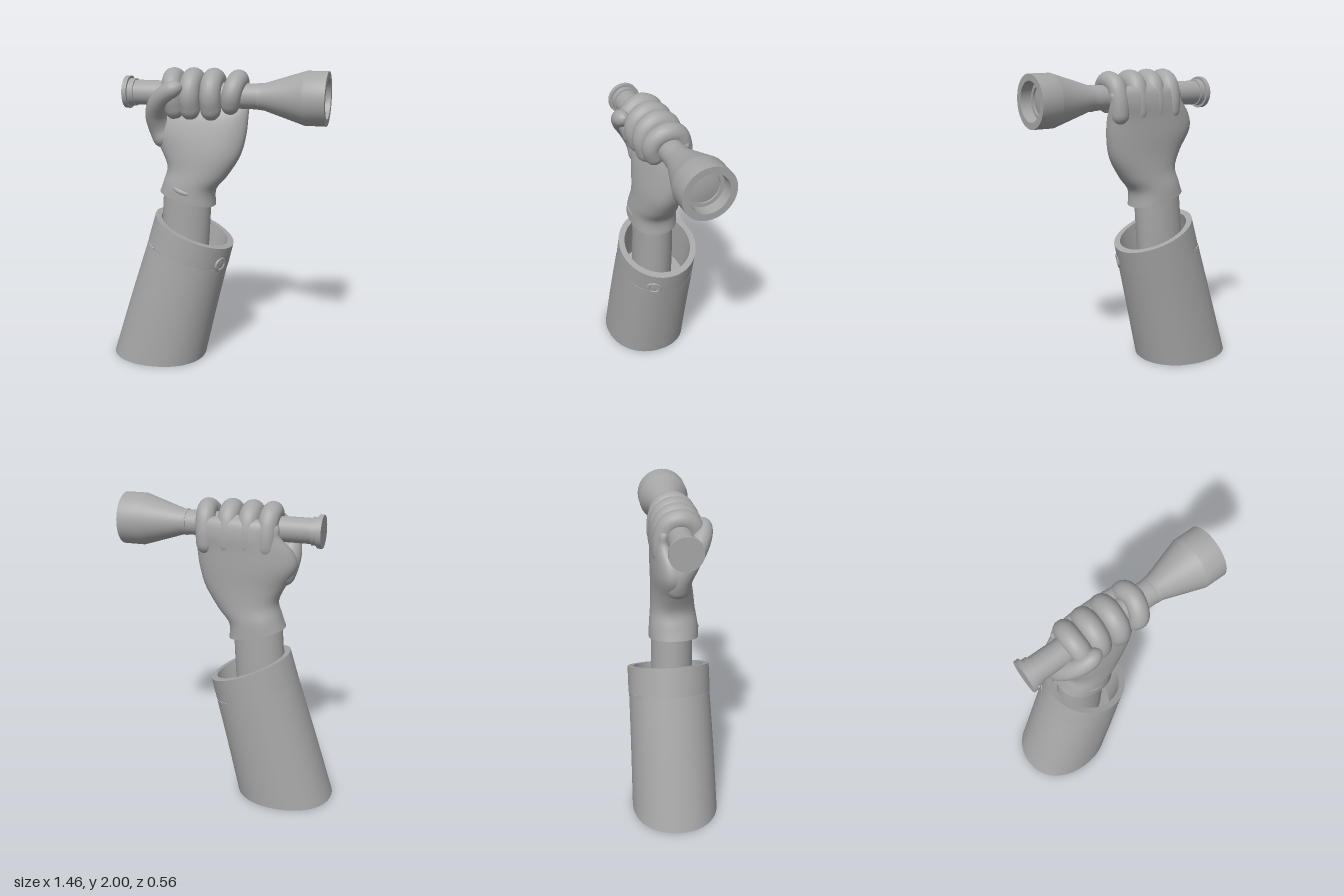
import * as THREE from 'three';
import { mergeVertices, mergeGeometries, toCreasedNormals } from 'three/addons/utils/BufferGeometryUtils.js';

const grey = new THREE.MeshStandardMaterial({ color: 0xa6a6a6 });
grey.name = 'plain grey';

const spow = (v, p) => Math.sign(v) * Math.pow(Math.abs(v), p);

// Catmull-Rom blend of the same value in four neighbouring sections
function blend(a, b, c, d, t) {
  const m0 = (c - a) / 2, m1 = (d - b) / 2, t2 = t * t, t3 = t2 * t;
  return (2 * t3 - 3 * t2 + 1) * b + (t3 - 2 * t2 + t) * m0 + (3 * t2 - 2 * t3) * c + (t3 - t2) * m1;
}

// Skin over tilted oval sections [cx, cy, radiusX, tilt, cz, radiusZ]
function loft(sections, { sub = 1, power = 1, n = 48 } = {}) {
  const rings = [];
  const last = sections.length - 1;
  for (let i = 0; i < last; i++) {
    const four = [Math.max(i - 1, 0), i, i + 1, Math.min(i + 2, last)].map((k) => sections[k]);
    for (let s = 0; s < sub; s++) {
      rings.push(four[1].map((_, k) => blend(four[0][k], four[1][k], four[2][k], four[3][k], s / sub)));
    }
  }
  rings.push(sections[last]);
  const pos = [], idx = [];
  rings.forEach(([cx, cy, rx, dy, cz, rz], i) => {
    for (let j = 0; j < n; j++) {
      const a = (j / n) * Math.PI * 2;
      const u = spow(Math.cos(a), power), v = spow(Math.sin(a), power);
      pos.push(cx + rx * u, cy + dy * u, cz + rz * v);
      if (i === rings.length - 1) continue;
      const p = i * n + j, q = i * n + ((j + 1) % n);
      idx.push(p, p + n, q, q, p + n, q + n);
    }
  });
  const g = new THREE.BufferGeometry();
  g.setAttribute('position', new THREE.Float32BufferAttribute(pos, 3));
  g.setIndex(idx);
  g.computeVertexNormals();
  return g;
}

// Round-ended tube whose radius runs from r0 to r1
function limb(points, r0, r1, round = 0.12) {
  const curve = new THREE.CatmullRomCurve3(points.map((p) => new THREE.Vector3(...p)));
  const segs = 48, sides = 20;
  const g = new THREE.TubeGeometry(curve, segs, 1, sides, false);
  const pos = g.attributes.position, v = new THREE.Vector3();
  for (let i = 0; i <= segs; i++) {
    const t = i / segs, c = curve.getPointAt(t);
    const e = Math.max(0, 1 - Math.min(t, 1 - t) / round);
    const r = (r0 + (r1 - r0) * t) * Math.sqrt(Math.max(1e-4, 1 - e * e));
    for (let j = 0; j <= sides; j++) {
      const k = i * (sides + 1) + j;
      v.fromBufferAttribute(pos, k).sub(c).multiplyScalar(r).add(c);
      pos.setXYZ(k, v.x, v.y, v.z);
    }
  }
  g.deleteAttribute('uv');
  g.deleteAttribute('normal');
  const m = mergeVertices(g, 1e-5);
  m.computeVertexNormals();
  return m;
}

// Turned solid with crisp edges
function turned(points) {
  const g = new THREE.LatheGeometry(points.map(([r, y]) => new THREE.Vector2(r, y)), 48);
  return toCreasedNormals(g, 0.5);
}

export function createModel() {
  const group = new THREE.Group();
  const add = (name, geometry, parent = group) => {
    const mesh = new THREE.Mesh(geometry, grey);
    mesh.name = name;
    parent.add(mesh);
    return mesh;
  };
  const grow = ([cx, cy, rx, dy, cz, rz], d) => [cx, cy, rx + d, dy * (rx + d) / rx, cz, rz + d];
  const point = ([cx, cy, , , cz]) => [cx, cy, 0, 0, cz, 0];

  // Sleeve: outer skin, slightly raised cuff, rim, hollow mouth and closed base
  const base = [-0.405, 0, 0.325, 0, 0, 0.282];
  const middle = [-0.295, 0.405, 0.295, -0.045, -0.005, 0.273];
  const cuffLow = [-0.195, 0.76, 0.268, -0.085, -0.013, 0.264];
  const rim = [-0.15, 0.925, 0.258, -0.105, -0.015, 0.262];
  const floor = grow([-0.24, 0.6, 0.27, -0.08, -0.01, 0.26], -0.04);
  const cuffTop = grow(rim, 0.004), mouth = grow(rim, -0.036);
  add('sleeve', mergeGeometries([
    loft([point(base), base]),
    loft([base, middle, cuffLow], { sub: 6, power: 0.93 }),
    loft([mouth, floor]),
    loft([floor, point(floor)]),
  ]));
  add('sleeveCuff', mergeGeometries([
    loft([cuffLow, grow(cuffLow, 0.004)]),
    loft([grow(cuffLow, 0.004), cuffTop]),
    loft([cuffTop, mouth]),
  ]));

  // Cuff button
  const button = add('cuffButton', turned([
    [0, -0.02], [0.05, -0.02], [0.052, 0.008], [0.046, 0.018], [0.036, 0.018], [0.03, 0.012], [0, 0.016],
  ]));
  button.position.set(0.05, 0.72, 0.095);
  button.quaternion.setFromUnitVectors(
    new THREE.Vector3(0, 1, 0), new THREE.Vector3(0.88, -0.18, 0.42).normalize());

  // Forearm inside the sleeve
  add('forearm', loft([
    [-0.235, 0.58, 0.165, 0, 0, 0.135],
    [-0.21, 0.9, 0.163, -0.03, 0, 0.133],
    [-0.19, 1.2, 0.16, -0.03, 0.005, 0.13],
  ], { sub: 4 }));

  // Gloved hand: hem and palm
  const hand = new THREE.Group();
  hand.name = 'hand';
  group.add(hand);
  const hem = [-0.185, 1.145, 0.185, -0.045, 0.015, 0.157];
  add('gloveHem', loft([[-0.188, 1.15, 0.15, -0.04, 0.005, 0.12], hem]), hand);
  add('palm', loft([
    hem,
    [-0.17, 1.235, 0.172, -0.032, 0.015, 0.153],
    [-0.12, 1.33, 0.2, -0.03, 0.015, 0.14],
    [-0.103, 1.455, 0.267, -0.02, 0.01, 0.13],
    [-0.12, 1.585, 0.32, -0.015, -0.005, 0.118],
    [-0.105, 1.7, 0.315, 0, -0.025, 0.098],
    [-0.065, 1.8, 0.275, 0, -0.058, 0.066],
    [-0.06, 1.88, 0.25, 0, -0.055, 0.05],
    [-0.06, 1.92, 0.01, 0, -0.05, 0.005],
  ], { sub: 6, power: 0.88 }), hand);

  // Folds at the wrist
  add('wristFold', limb([[-0.29, 1.27, 0.11], [-0.2, 1.215, 0.155], [-0.07, 1.185, 0.135]], 0.022, 0.018, 0.4), hand);
  add('wristFold', limb([[-0.27, 1.32, 0.1], [-0.18, 1.255, 0.145], [-0.06, 1.225, 0.125]], 0.022, 0.018, 0.4), hand);

  // Four fingers wrapped round the handle: [name, x at knuckle, x at top, x at tip, radius]
  const wrap = [[1.66, -0.055], [1.82, -0.055], [1.91, -0.02], [1.935, 0.05], [1.9, 0.115], [1.83, 0.138], [1.75, 0.118], [1.68, 0.1]];
  [
    ['indexFinger', -0.25, -0.265, -0.235, 0.065],
    ['middleFinger', -0.13, -0.135, -0.138, 0.068],
    ['ringFinger', 0, 0, 0, 0.068],
    ['littleFinger', 0.14, 0.16, 0.115, 0.062],
  ].forEach(([name, x0, x1, x2, r]) => {
    const lift = name === 'littleFinger' ? 0.045 : 0;
    add(name, limb(wrap.map(([y, z], i) => {
      const x = i < 3 ? x0 + (x1 - x0) * i / 3 : x1 + (x2 - x1) * (i - 3) / 4;
      return [x, y + lift * Math.max(0, i - 4) / 3, z];
    }), r, r * 0.97), hand);
  });

  // Thumb crossing in front of the index finger
  add('thumb', limb([
    [-0.31, 1.48, 0.02], [-0.365, 1.6, 0.03], [-0.378, 1.7, 0.08],
    [-0.335, 1.79, 0.145], [-0.26, 1.86, 0.185], [-0.165, 1.905, 0.185],
  ], 0.085, 0.05, 0.14), hand);

  // Torch: end cap, handle, collar, flared head and recessed lens
  const torch = new THREE.Group();
  torch.name = 'torch';
  torch.position.set(0, 1.832, 0.04);
  torch.rotation.z = -Math.PI / 2;
  group.add(torch);
  add('torchHandle', turned([
    [0, -0.59], [0.104, -0.59], [0.104, -0.56], [0.088, -0.56], [0.088, -0.522], [0.08, -0.522], [0.08, 0.3],
  ]), torch);
  add('torchHead', turned([
    [0.078, 0.293], [0.084, 0.293], [0.084, 0.325], [0.165, 0.58], [0.168, 0.59], [0.168, 0.725],
    [0.125, 0.725], [0.12, 0.655], [0.097, 0.655], [0.097, 0.64],
  ]), torch);
  add('torchLens', turned([[0.1, 0.642], [0.06, 0.65], [0, 0.653]]), torch);

  return group;
}
